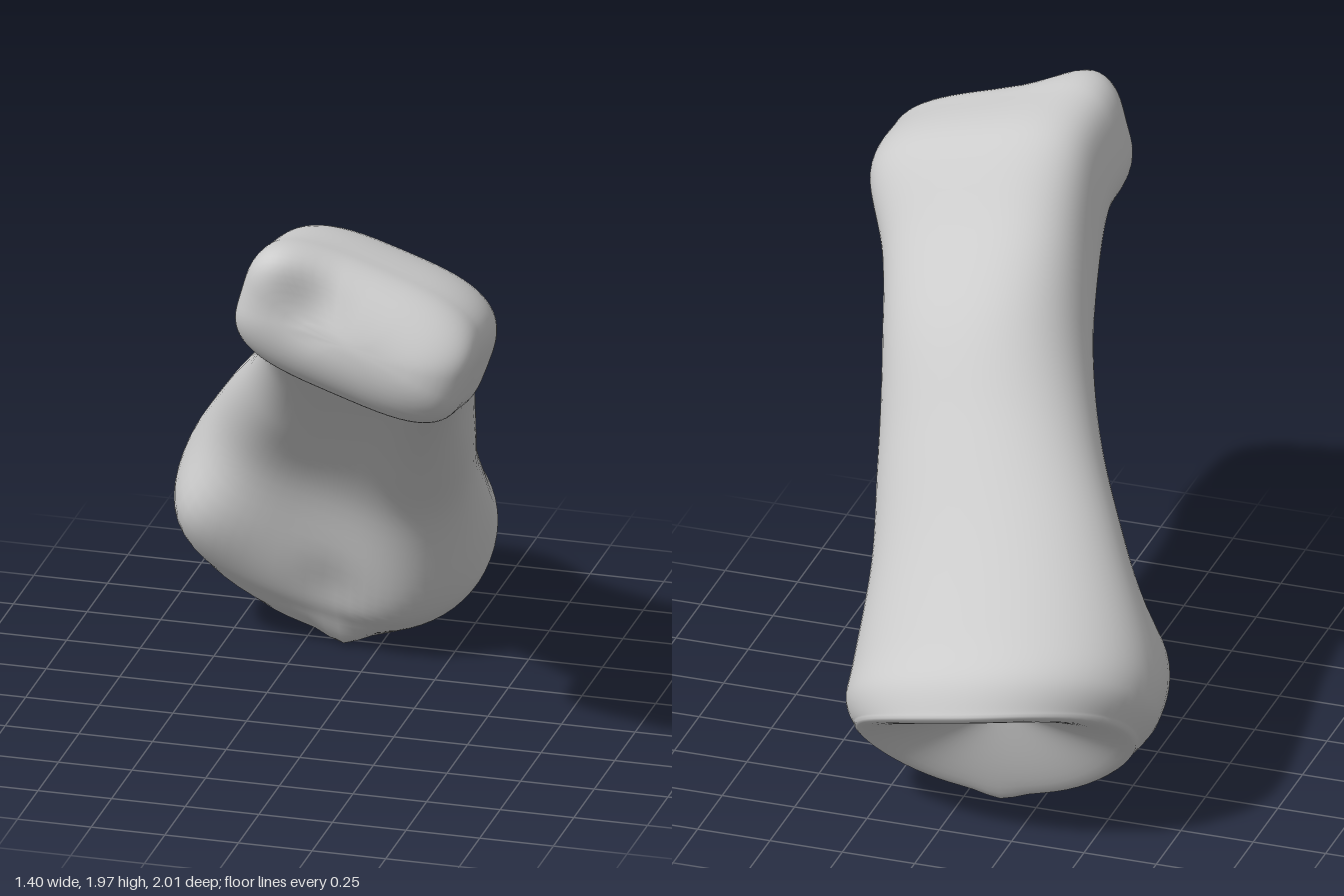
import * as THREE from 'three';
import { mergeVertices } from 'three/addons/utils/BufferGeometryUtils.js';

const { degToRad, smoothstep, clamp } = THREE.MathUtils;

// Cross-sections from base rim to head: x, y, z, tilt, half width, dorsal and palmar height
const SECTIONS = [
  [-0.17, 0.29, -0.72, 45, 0.47, 0.39, 0.35],
  [-0.17, 0.37, -0.64, 45, 0.52, 0.42, 0.39],
  [-0.15, 0.50, -0.53, 45, 0.51, 0.38, 0.40],
  [-0.06, 0.78, -0.32, 45, 0.43, 0.30, 0.25],
  [0.05, 1.02, -0.08, 42, 0.375, 0.29, 0.22],
  [0.14, 1.25, 0.18, 41, 0.345, 0.31, 0.21],
  [0.22, 1.46, 0.44, 36, 0.355, 0.27, 0.21],
  [0.29, 1.63, 0.62, 20, 0.40, 0.25, 0.24],
  [0.29, 1.67, 0.80, 4, 0.405, 0.23, 0.235],
];
const LAST = SECTIONS.length - 1;
const SIDES = 64;

// Local swellings and dents: centre, radius, push
const BUMPS = [
  [[-0.55, 0.48, -0.34], 0.17, [-0.03, 0.01, 0.07]], // side lobe of the base
  [[-0.12, 0.04, -0.45], 0.07, [0, -0.04, 0.01]],    // tubercle under the base
  [[-0.12, 0.24, -0.28], 0.12, [0, 0.01, -0.03]],    // notch in the palmar side
  [[0.06, 1.93, 0.90], 0.13, [-0.01, 0.03, 0.06]],   // upper head corner
  [[0.17, 1.80, 0.97], 0.12, [0, -0.01, -0.04]],     // groove between the condyles
  [[0.55, 1.60, 0.97], 0.15, [0, 0, 0.02]],          // larger condyle
].map(([c, radius, push]) => [new THREE.Vector3(...c), radius, new THREE.Vector3(...push)]);

// Catmull-Rom blend of the section values
function sectionAt(s) {
  const i = Math.min(Math.floor(s), LAST - 1), f = s - i;
  const [a, b, c, d] = [i - 1, i, i + 1, i + 2].map(k => SECTIONS[clamp(k, 0, LAST)]);
  return b.map((v, k) => v + 0.5 * f * (c[k] - a[k] +
    f * (2 * a[k] - 5 * v + 4 * c[k] - d[k] + f * (3 * (v - c[k]) + d[k] - a[k]))));
}

// One closed ring at s, moved along the bone by lift and scaled in width and height
function ring({ s, lift = 0, wide = 1, high = 1 }) {
  const [x, y, z, tilt, width, dorsal, palmar] = sectionAt(s);
  const k = s / LAST;
  const th = degToRad(tilt), roll = degToRad(-8 - 10 * k);
  const power = 2 / (2.1 + 1.3 * smoothstep(s, 4, LAST));
  const hollow = 0.25 * Math.sin(Math.PI * k);
  const skew = 0.06 + 0.06 * Math.sin(Math.PI * k) - 0.06 * k;
  const saddle = 0.08 * (1 - k) ** 3;
  const round = v => Math.sign(v) * Math.abs(v) ** power;
  return Array.from({ length: SIDES }, (_, j) => {
    const t = (j / SIDES) * Math.PI * 2, cos = Math.cos(t), sin = Math.sin(t);
    const a = wide * width * round(cos);
    const b = high * round(sin) * (sin > 0 ? dorsal : palmar * (1 - hollow * sin ** 6));
    const u = a * Math.cos(roll) - b * Math.sin(roll);
    const v = a * Math.sin(roll) + b * Math.cos(roll);
    const n = lift + wide * cos * (saddle * cos - skew);
    const start = new THREE.Vector3(
      x + u,
      y + v * Math.cos(th) + n * Math.sin(th),
      z - v * Math.sin(th) + n * Math.cos(th));
    const point = start.clone();
    for (const [centre, radius, push] of BUMPS) {
      point.addScaledVector(push, Math.exp(-((start.distanceTo(centre) / radius) ** 2)));
    }
    return point;
  });
}

// Skin the rings in order into one smooth closed surface
function loft(rings) {
  const geometry = new THREE.BufferGeometry().setFromPoints(rings.flat());
  const index = [], end = rings.length - 2;
  for (let i = 0; i <= end; i++) {
    for (let j = 0; j < SIDES; j++) {
      const a = i * SIDES + j, b = i * SIDES + (j + 1) % SIDES;
      const c = b + SIDES, d = a + SIDES;
      if (i > 0) index.push(a, b, d);
      if (i < end) index.push(b, c, d);
    }
  }
  geometry.setIndex(index);
  const merged = mergeVertices(geometry, 1e-4);
  merged.computeVertexNormals();
  return merged;
}

export function createModel() {
  const profile = [];
  // Hollow joint face, from its centre out over the rounded rim
  for (let i = 0; i < 12; i++) {
    const q = (1 - i / 12) ** 2;
    profile.push({ s: 0, lift: 0.3 * q - 0.14 * Math.sqrt(q), wide: 1 - q, high: 1 - q });
  }
  // Shaft
  for (let i = 0; i <= LAST * 8; i++) profile.push({ s: i / 8 });
  // Rolled end of the head
  for (let i = 1; i <= 14; i++) {
    const angle = (i / 14) * Math.PI / 2, f = Math.sin(angle);
    const wide = i < 14 ? (1 - f ** 4) ** 0.25 : 0;
    profile.push({ s: LAST, lift: 0.19 * f, wide, high: Math.cos(angle) });
  }

  const bone = new THREE.Mesh(loft(profile.map(ring)), new THREE.MeshStandardMaterial({ color: 0xcccccc }));
  bone.name = 'fingerBone';
  const group = new THREE.Group();
  group.name = 'bone';
  group.add(bone);
  return group;
}
